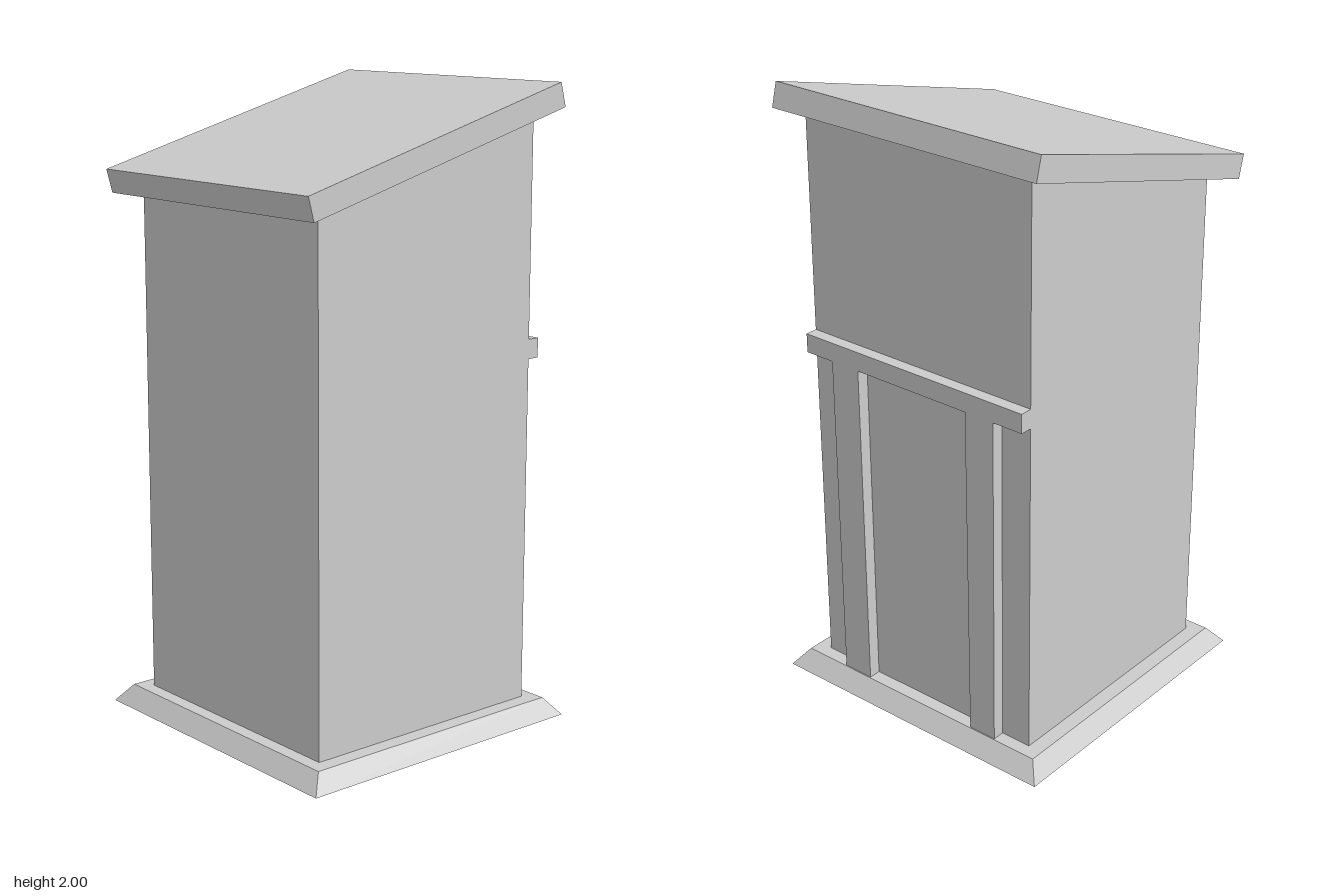
import * as THREE from 'three';

const material = new THREE.MeshStandardMaterial({ color: 0xcccccc, flatShading: true });

function part(name, geometry) {
  const mesh = new THREE.Mesh(geometry, material);
  mesh.name = name;
  return mesh;
}

// Prism from an outline; points are [u, y] pairs
function prism(points, depth) {
  const shape = new THREE.Shape(points.map(([u, y]) => new THREE.Vector2(u, y)));
  return new THREE.ExtrudeGeometry(shape, { depth, bevelEnabled: false });
}

export function createModel() {
  const group = new THREE.Group();
  group.name = 'shed';

  // Plinth: a box whose top is drawn in to form sloping sides
  const plinth = new THREE.BoxGeometry(1.02, 0.056, 1.028).translate(0, 0.028, 0);
  const pos = plinth.attributes.position;
  for (let i = 0; i < pos.count; i++) {
    if (pos.getY(i) > 0.03) {
      pos.setX(i, Math.sign(pos.getX(i)) * 0.464);
      pos.setZ(i, Math.sign(pos.getZ(i)) * 0.47);
    }
  }
  plinth.computeVertexNormals();
  group.add(part('plinth', plinth));

  // Walls with a slanted top
  const walls = prism([[-0.42, 0.05], [0.42, 0.05], [0.42, 1.908], [-0.42, 1.676]], 0.84);
  group.add(part('walls', walls.translate(0, 0, -0.42)));

  // Overhanging lean-to roof slab
  const roof = prism([[-0.49, 1.656], [0.486, 1.925], [0.466, 2], [-0.51, 1.73]], 0.976);
  group.add(part('roof', roof.translate(0, 0, -0.488)));

  // Lintel across the +x wall
  const lintel = new THREE.BoxGeometry(0.04, 0.062, 0.84).translate(0.44, 1.186, 0);
  group.add(part('lintel', lintel));

  // Slightly crooked door posts below the lintel
  const posts = {
    leftPost: [[-0.312, 0.056], [-0.205, 0.056], [-0.21, 1.155], [-0.316, 1.155]],
    rightPost: [[0.218, 0.056], [0.315, 0.056], [0.315, 1.155], [0.21, 1.155]],
  };
  for (const [name, outline] of Object.entries(posts)) {
    group.add(part(name, prism(outline, 0.04).rotateY(Math.PI / 2).translate(0.42, 0, 0)));
  }

  return group;
}
